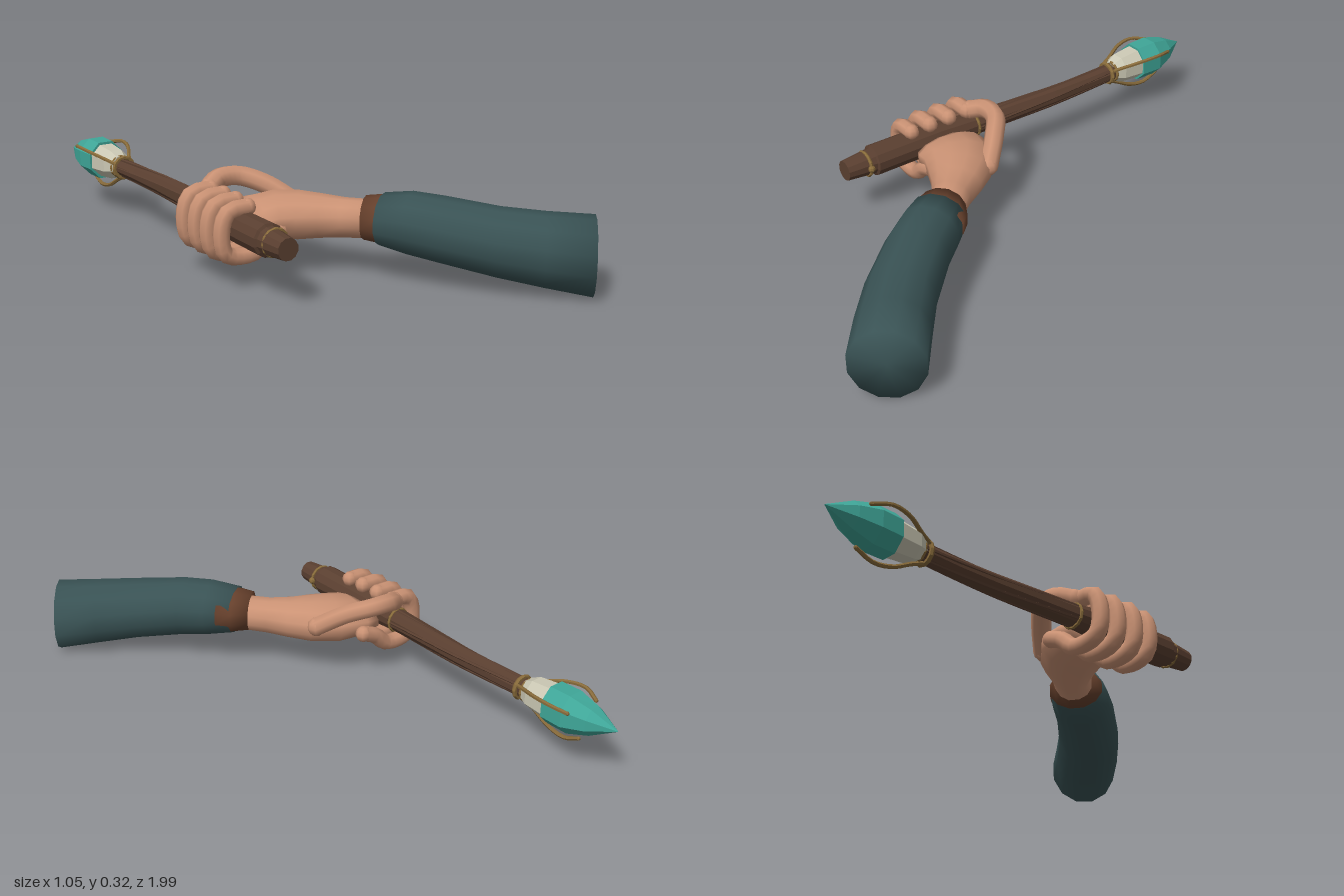
import * as THREE from 'three';

const mat = (name, color, flatShading = false) => {
  const m = new THREE.MeshStandardMaterial({ color, flatShading });
  m.name = name;
  return m;
};

// Closed skin through sections [x, y, z, halfWidth, halfHeight]
function loft(sections, sides) {
  const pos = [], idx = [], last = sections.length - 1;
  const up = new THREE.Vector3(0, 1, 0);
  sections.forEach(([x, y, z, w, h], i) => {
    const a = sections[Math.max(i - 1, 0)], b = sections[Math.min(i + 1, last)];
    const t = new THREE.Vector3(b[0] - a[0], 0, b[2] - a[2]).normalize();
    const side = up.clone().cross(t);
    for (let j = 0; j < sides; j++) {
      const q = ((j + 0.5) / sides) * Math.PI * 2, c = Math.cos(q) * w;
      pos.push(x + side.x * c, y + Math.sin(q) * h, z + side.z * c);
    }
  });
  const startCap = pos.length / 3;
  pos.push(...sections[0].slice(0, 3), ...sections[last].slice(0, 3));
  for (let j = 0; j < sides; j++) {
    const k = (j + 1) % sides, e = last * sides;
    for (let i = 0; i < last; i++) {
      const a = i * sides + j, b = i * sides + k;
      idx.push(a, b, a + sides, b, b + sides, a + sides);
    }
    idx.push(startCap, k, j, startCap + 1, e + j, e + k);
  }
  const g = new THREE.BufferGeometry();
  g.setAttribute('position', new THREE.Float32BufferAttribute(pos, 3));
  g.setIndex(idx);
  g.computeVertexNormals();
  return g;
}

export function createModel() {
  const model = new THREE.Group();
  model.name = 'armHoldingStaff';

  const cloth = mat('sleeve cloth', 0x395254);
  const skin = mat('skin', 0xca9274);
  const leather = mat('cuff leather', 0x66402c);
  const wood = mat('staff wood', 0x5a3f30, true);
  const gold = mat('aged gold', 0x876a3a, true);
  const teal = mat('teal crystal', 0x3fa698, true);
  const cream = mat('pale crystal', 0xcbc8b4, true);

  const add = (name, geometry, material, parent = model) => {
    const mesh = new THREE.Mesh(geometry, material);
    mesh.name = name;
    parent.add(mesh);
    return mesh;
  };
  const vec = (p) => new THREE.Vector3(...p);

  // Bent tube with rounded ends
  const limb = (name, points, r, material, steps = 16, sides = 8) => {
    const g = new THREE.Group();
    g.name = name;
    const curve = new THREE.CatmullRomCurve3(points.map(vec), false, 'centripetal');
    add(name + 'Body', new THREE.TubeGeometry(curve, steps, r, sides), material, g);
    for (const p of [points[0], points[points.length - 1]]) {
      add(name + 'End', new THREE.SphereGeometry(r, sides, 6), material, g).position.set(...p);
    }
    model.add(g);
    return g;
  };

  // Sleeve and cuff
  add('sleeve', loft([
    [0.445, 0.125, 0.9, 0.122, 0.128], [0.33, 0.14, 0.805, 0.12, 0.118],
    [0.225, 0.157, 0.71, 0.115, 0.11], [0.11, 0.182, 0.575, 0.108, 0.105],
    [0.05, 0.192, 0.49, 0.104, 0.1], [-0.005, 0.195, 0.415, 0.098, 0.083],
  ], 12), cloth);
  add('cuff', loft([
    [0.03, 0.195, 0.455, 0.1, 0.078], [-0.005, 0.195, 0.413, 0.098, 0.077],
    [-0.042, 0.195, 0.372, 0.078, 0.07],
  ], 12), leather);

  // Wrist and palm
  add('hand', loft([
    [-0.01, 0.19, 0.4, 0.066, 0.062], [-0.08, 0.187, 0.315, 0.068, 0.064],
    [-0.13, 0.187, 0.26, 0.088, 0.07], [-0.185, 0.187, 0.21, 0.11, 0.077],
    [-0.25, 0.187, 0.165, 0.124, 0.076], [-0.32, 0.185, 0.15, 0.126, 0.066],
    [-0.36, 0.182, 0.148, 0.115, 0.045],
  ], 12), skin);

  // Four fingers passing under the staff, tips resting on top
  [0.025, 0.103, 0.182, 0.257].forEach((z, i) => {
    const s = i === 3 ? 0.95 : 1;
    const path = [
      [0.14, -0.025], [0.09, -0.045], [0.03, -0.092], [-0.07, -0.078],
      [-0.085, 0.01], [-0.06, 0.063], [0.012, 0.07],
    ].map(([x, y]) => [-0.415 + x * s, 0.192 + y * s, z]);
    limb('finger' + (i + 1), path, 0.029 * s, skin, 18);
  });

  // Thumb curling over the staff
  limb('thumb', [
    [-0.14, 0.2, 0.12], [-0.21, 0.255, 0.045], [-0.28, 0.281, -0.01],
    [-0.35, 0.281, -0.015], [-0.4, 0.262, 0.01],
  ], 0.034, skin);

  // Handle, tapered pommel and slightly bent shaft
  add('grip', loft([
    [-0.42, 0.193, 0.52, 0.036, 0.036], [-0.42, 0.193, 0.415, 0.046, 0.046],
    [-0.42, 0.193, 0.41, 0.055, 0.055], [-0.418, 0.193, 0.15, 0.054, 0.054],
    [-0.408, 0.194, 0, 0.043, 0.043],
  ], 12), wood);
  add('shaft', loft([
    [-0.408, 0.194, 0.01, 0.041, 0.041], [-0.402, 0.195, -0.15, 0.037, 0.038],
    [-0.396, 0.194, -0.35, 0.034, 0.034], [-0.398, 0.193, -0.5, 0.031, 0.031],
    [-0.404, 0.193, -0.66, 0.032, 0.03],
  ], 10), wood);
  // Raised wooden strands along the shaft
  for (let i = 0; i < 5; i++) {
    const pts = [0, 1, 2, 3, 4].map((k) => {
      const a = (i / 5) * Math.PI * 2 + k * 0.16, r = 0.036 - k * 0.002;
      const x = [-0.408, -0.402, -0.396, -0.398, -0.404][k];
      return vec([x + Math.cos(a) * r, 0.194 + Math.sin(a) * r, -k * 0.16]);
    });
    add('shaftStrand', new THREE.TubeGeometry(new THREE.CatmullRomCurve3(pts), 8, 0.006, 5), wood);
  }

  // Gold bands
  const band = (name, x, z, r, t) =>
    add(name, new THREE.TorusGeometry(r, t, 6, 12), gold).position.set(x, 0.193, z);
  band('gripBand', -0.408, -0.005, 0.041, 0.006);
  band('pommelBand', -0.416, 0.44, 0.043, 0.006);
  band('collarLower', -0.404, -0.62, 0.037, 0.008);
  band('collarUpper', -0.405, -0.645, 0.036, 0.006);
  add('pommelStud', new THREE.SphereGeometry(0.013, 8, 6), gold).position.set(-0.374, 0.193, 0.44);

  // Crystal: pale base and teal point
  add('crystalBase', loft([
    [-0.405, 0.195, -0.64, 0.038, 0.038], [-0.407, 0.195, -0.675, 0.055, 0.055],
    [-0.41, 0.195, -0.77, 0.064, 0.064],
  ], 8), cream);
  add('crystalPoint', loft([
    [-0.41, 0.195, -0.755, 0.07, 0.072], [-0.412, 0.195, -0.835, 0.073, 0.073],
    [-0.42, 0.195, -0.91, 0.05, 0.05], [-0.43, 0.195, -1, 0.001, 0.001],
  ], 8), teal);

  // Three claws around the crystal
  [-90, 30, 150].forEach((deg) => {
    const a = THREE.MathUtils.degToRad(deg);
    const path = [[0.038, -0.63], [0.055, -0.67], [0.09, -0.74], [0.1, -0.81], [0.076, -0.87]];
    limb('claw', path.map(([r, z]) => [-0.406 + Math.cos(a) * r, 0.193 + Math.sin(a) * r, z]),
      0.007, gold, 12, 6);
  });

  return model;
}
